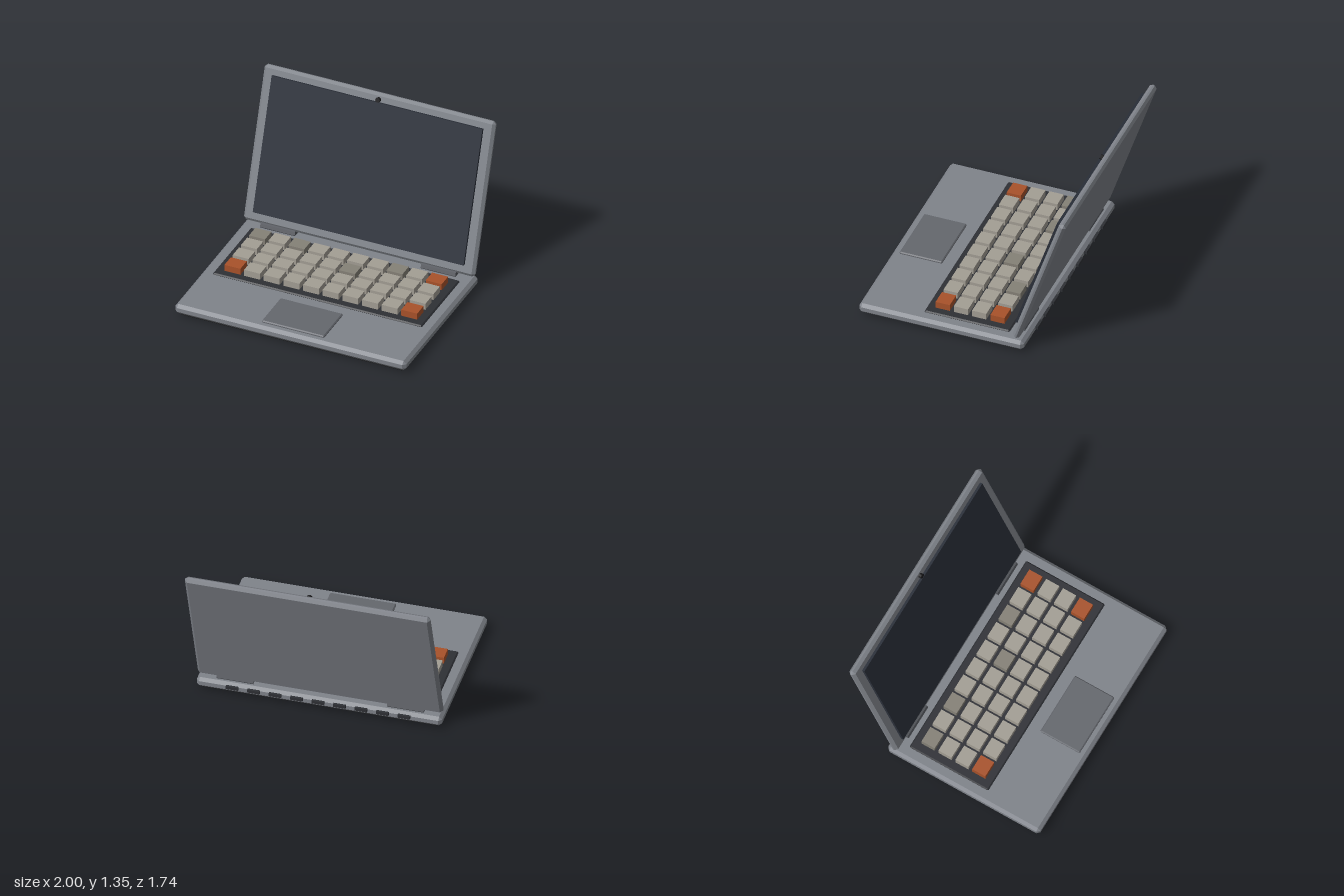
import * as THREE from 'three';
import { ConvexGeometry } from 'three/addons/geometries/ConvexGeometry.js';

const material = (color) => new THREE.MeshStandardMaterial({ color, flatShading: true });

// Box with every edge and corner chamfered by c
function chamferBox(w, h, d, c) {
  const points = [];
  for (const x of [-w / 2, w / 2]) for (const y of [-h / 2, h / 2]) for (const z of [-d / 2, d / 2]) {
    const sx = Math.sign(x) * c, sy = Math.sign(y) * c, sz = Math.sign(z) * c;
    points.push(
      new THREE.Vector3(x, y - sy, z - sz),
      new THREE.Vector3(x - sx, y, z - sz),
      new THREE.Vector3(x - sx, y - sy, z));
  }
  return new ConvexGeometry(points);
}

function add(parent, name, geometry, mat, x, y, z) {
  const mesh = new THREE.Mesh(geometry, mat);
  mesh.name = name;
  mesh.position.set(x, y, z);
  parent.add(mesh);
  return mesh;
}

export function createModel() {
  const model = new THREE.Group();
  model.name = 'laptop';
  const metal = material(0x7f838a);
  const dark = material(0x2e3035);
  const under = material(0x2c2d2f);
  const rubber = material(0x1c1c1e);
  const pad = material(0x64676d);
  const glass = material(0x2b303a);
  const hingeMetal = material(0x55585e);
  const keyLight = material(0xa39e94);
  const keyDim = material(0x858177);
  const keyOrange = material(0xa8522a);

  // Base, underside plate, keyboard tray and trackpad
  add(model, 'base', chamferBox(2, 0.085, 1.39, 0.025), metal, 0, 0.067, 0.18);
  add(model, 'bottomPlate', chamferBox(1.93, 0.034, 1.335, 0.012), under, 0, 0.024, 0.182);
  add(model, 'keyboardTray', chamferBox(1.81, 0.03, 0.72, 0.01), dark, 0, 0.107, -0.005);
  add(model, 'trackpad', chamferBox(0.54, 0.03, 0.36, 0.008), pad, 0, 0.111, 0.635);

  // Keys: four rows of ten, a few tinted
  const keys = new THREE.Group();
  keys.name = 'keys';
  model.add(keys);
  const keyShape = new THREE.BoxGeometry(0.138, 0.06, 0.12);
  const tinted = { '0,0': keyDim, '0,2': keyDim, '0,7': keyDim, '1,5': keyDim,
    '0,9': keyOrange, '3,0': keyOrange, '3,9': keyOrange };
  for (let row = 0; row < 4; row++) for (let col = 0; col < 10; col++) {
    add(keys, 'key', keyShape, tinted[`${row},${col}`] || keyLight,
      (col - 4.5) * 0.17, 0.148, -0.004 + (row - 1.5) * 0.154);
  }

  // Feet and hinge barrels, mirrored
  for (const side of [-1, 1]) {
    for (const z of [0.7, -0.33]) {
      add(model, 'foot', new THREE.CylinderGeometry(0.05, 0.05, 0.02, 12), rubber, side * 0.82, 0.01, z);
    }
    const barrel = add(model, 'hinge', new THREE.CylinderGeometry(0.035, 0.035, 0.3, 8), hingeMetal,
      side * 0.695, 0.117, -0.44);
    barrel.rotation.z = Math.PI / 2;
  }

  // Row of vent blocks behind the base
  for (let i = 0; i < 9; i++) {
    add(model, 'vent', new THREE.BoxGeometry(0.1, 0.025, 0.022), dark, (i - 4) * 0.175, 0.088, -0.534);
  }

  // Tilted lid carrying the screen and camera
  const lid = new THREE.Group();
  lid.name = 'lid';
  lid.position.set(0, 0.742, -0.645);
  lid.rotation.x = -0.32;
  model.add(lid);
  add(lid, 'lidShell', chamferBox(2, 1.285, 0.06, 0.022), metal, 0, 0, 0);
  add(lid, 'screen', new THREE.BoxGeometry(1.825, 1.13, 0.022), glass, 0, 0.008, 0.047);
  const camera = add(lid, 'webcam', new THREE.CylinderGeometry(0.021, 0.021, 0.03, 8), rubber, 0, 0.59, 0.04);
  camera.rotation.x = Math.PI / 2;

  return model;
}
